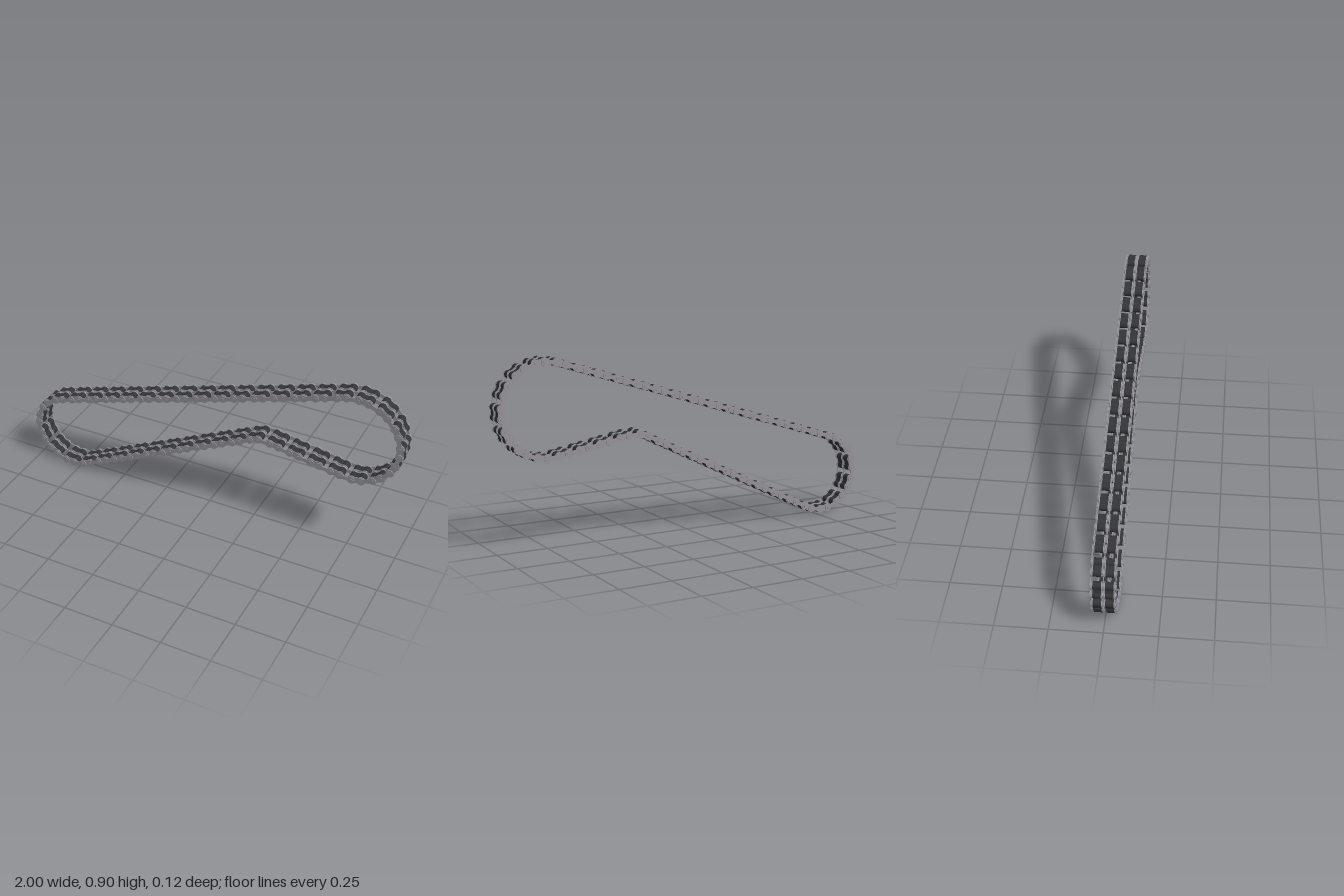
import * as THREE from 'three';

const dark = new THREE.MeshStandardMaterial({ color: 0x333537 });
const steel = new THREE.MeshStandardMaterial({ color: 0x95939a });
const LINKS = 43;
const HALF = 0.0235; // half the pin spacing inside one roller link

// Chain loop: big wheel on each end, small idler lifting the lower run
function chainPath() {
  const d = THREE.MathUtils.degToRad;
  const path = new THREE.Path();
  path.absarc(-0.785, 0.216, 0.195, d(-64), d(-254), true);
  path.absarc(0.757, 0.66, 0.224, d(106), d(-102), true);
  path.absarc(0.3, 0.393, 0.12, d(78), d(116), false);
  path.closePath();
  return path;
}

// Side plate with two round ends and a narrower waist, centred on the origin
function plateGeometry(length, radius, waist, thickness) {
  const h = length / 2, a = Math.asin(waist / radius);
  const s = new THREE.Shape();
  s.absarc(h, 0, radius, a - Math.PI, Math.PI - a, false);
  s.absarc(-h, 0, radius, a, 2 * Math.PI - a, false);
  s.closePath();
  const g = new THREE.ExtrudeGeometry(s, { depth: thickness, bevelEnabled: false, curveSegments: 7 });
  return g.translate(0, 0, -thickness / 2);
}

function add(group, name, geometry, material, x, y, z) {
  const mesh = new THREE.Mesh(geometry, material);
  mesh.name = name;
  mesh.position.set(x, y, z);
  group.add(mesh);
}

export function createModel() {
  const model = new THREE.Group();
  model.name = 'rollerChain';
  const path = chainPath();
  const total = path.getLength();
  const at = (s) => path.getPoint((s / total + 1) % 1);
  const pitch = total / LINKS;

  const roller = new THREE.CylinderGeometry(0.019, 0.019, 0.038, 14).rotateX(Math.PI / 2);
  const pin = new THREE.CylinderGeometry(0.008, 0.008, 0.119, 10).rotateX(Math.PI / 2);
  const web = new THREE.BoxGeometry(HALF * 2, 0.026, 0.038);
  const innerPlate = plateGeometry(HALF * 2, 0.021, 0.016, 0.004);
  const outerPlate = plateGeometry(pitch - HALF * 2, 0.019, 0.01, 0.004);

  // Group placed between two pins, with its x axis running along the chain
  const place = (name, a, b) => {
    const g = new THREE.Group();
    g.name = name;
    g.position.set((a.x + b.x) / 2, (a.y + b.y) / 2, 0);
    g.rotation.z = Math.atan2(b.y - a.y, b.x - a.x);
    model.add(g);
    return g;
  };

  for (let i = 0; i < LINKS; i++) {
    const s = i * pitch;
    const p0 = at(s - HALF), p1 = at(s + HALF), p2 = at(s + pitch - HALF);

    // Roller link: two lanes of dark paired rollers between steel plates
    const inner = place('rollerLink', p0, p1);
    for (const side of [-1, 1]) {
      const z = side * 0.0278;
      add(inner, 'rollerWeb', web, dark, 0, 0, z);
      for (const x of [-HALF, HALF]) add(inner, 'roller', roller, dark, x, 0, z);
      for (const off of [-0.021, 0.021]) add(inner, 'innerPlate', innerPlate, steel, 0, 0, z + off);
    }
    for (const x of [-HALF, HALF]) add(inner, 'pin', pin, steel, x, 0, 0);

    // Connecting link: one plate on each side and one in the middle
    const outer = place('connectingLink', p1, p2);
    for (const z of [-0.0555, 0, 0.0555]) add(outer, 'outerPlate', outerPlate, steel, 0, 0, z);
  }
  return model;
}
